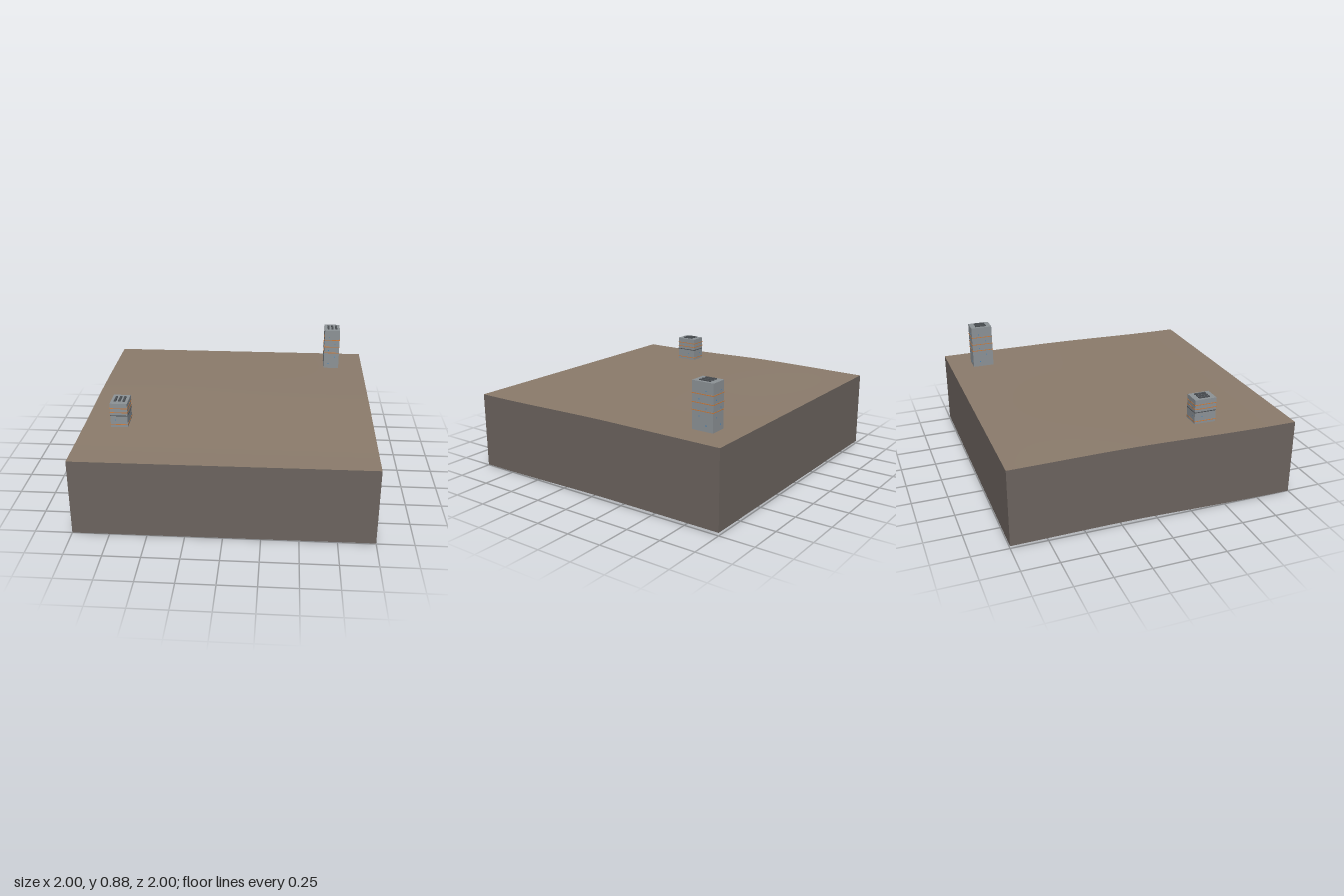
import * as THREE from 'three';

const mat = (name, color, side = THREE.FrontSide) => {
  const m = new THREE.MeshStandardMaterial({ color, side });
  m.name = name;
  return m;
};

// Gently rolling ground: low along the front, slightly higher at the back
function groundHeight(x, z) {
  const rise = 1 - THREE.MathUtils.smoothstep(z, -0.2, 0.9);
  const mound = Math.exp(-((x + 0.75) ** 2 * 2 + (z + 0.3) ** 2 * 4));
  return 0.537 + 0.004 * (x + 1) / 2 + 0.016 * rise + 0.007 * mound;
}

export function createModel() {
  const model = new THREE.Group();
  model.name = 'groundBlockWithVents';

  const soil = mat('soil brown', 0x8b7b6b, THREE.DoubleSide);
  const earth = mat('earth wall', 0x6b635e, THREE.DoubleSide);
  const concrete = mat('concrete grey', 0x8c9296);
  const dark = mat('dark metal', 0x4a4e52);
  const orange = mat('orange trim', 0xc87a3c);
  const blue = mat('blue light', 0x4a86b8);

  const add = (parent, name, geometry, material, x = 0, y = 0, z = 0) => {
    const mesh = new THREE.Mesh(geometry, material);
    mesh.name = name;
    mesh.position.set(x, y, z);
    parent.add(mesh);
    return mesh;
  };

  // Ground surface
  const top = new THREE.PlaneGeometry(2, 2, 40, 40).rotateX(-Math.PI / 2);
  const p = top.attributes.position;
  for (let i = 0; i < p.count; i++) p.setY(i, groundHeight(p.getX(i), p.getZ(i)));
  top.computeVertexNormals();
  add(model, 'ground', top, soil);

  // Four skirt walls follow the ground edge; the underside stays open
  const wallNames = ['frontWall', 'leftWall', 'backWall', 'rightWall'];
  wallNames.forEach((name, k) => {
    const wall = new THREE.PlaneGeometry(2, 1, 40, 1);
    wall.translate(0, 0, 1).rotateY(k * Math.PI / 2);
    const w = wall.attributes.position;
    for (let i = 0; i < w.count; i++) {
      const h = groundHeight(w.getX(i), w.getZ(i));
      w.setY(i, w.getY(i) > 0 ? h : h - 0.535);
    }
    add(model, name, wall, earth);
  });

  // Rectangular vent towers, sunk slightly through the ground
  function ventTower(name, x, z, height, bands, darkBands) {
    const W = 0.118, D = 0.155, base = 0.535;
    const tower = new THREE.Group();
    tower.name = name;
    tower.position.set(x, 0, z);
    add(tower, 'shaft', new THREE.BoxGeometry(W, height - base, D), concrete, 0, (height + base) / 2, 0);

    // Roof grille slats
    for (const sx of [-0.03, 0, 0.03])
      add(tower, 'roofSlat', new THREE.BoxGeometry(0.015, 0.008, 0.08), dark, sx, height + 0.003, 0);

    // Thin bands around the shaft
    const band = new THREE.BoxGeometry(W + 0.004, 0.005, D + 0.004);
    for (const y of bands) add(tower, 'trimBand', band, orange, 0, y, 0);
    for (const y of darkBands) add(tower, 'darkBand', band, dark, 0, y, 0);

    // Small lights on the long and short sides
    const light = new THREE.BoxGeometry(0.007, 0.007, 0.003);
    let n = 0;
    for (let y = base + 0.06; y < height - 0.02; y += 0.055, n++) {
      for (const s of [-1, 1]) {
        const shift = n % 2 ? 0.025 : -0.025;
        add(tower, 'light', light, blue, shift, y, s * D / 2);
        add(tower, 'light', light, blue, s * W / 2, y, shift).rotation.y = Math.PI / 2;
      }
    }
    model.add(tower);
  }
  ventTower('shortVent', -0.75, 0.417, 0.718, [0.563, 0.652, 0.682], [0.628]);
  ventTower('tallVent', 0.75, -0.75, 0.871, [0.685, 0.735, 0.792], []);

  return model;
}
